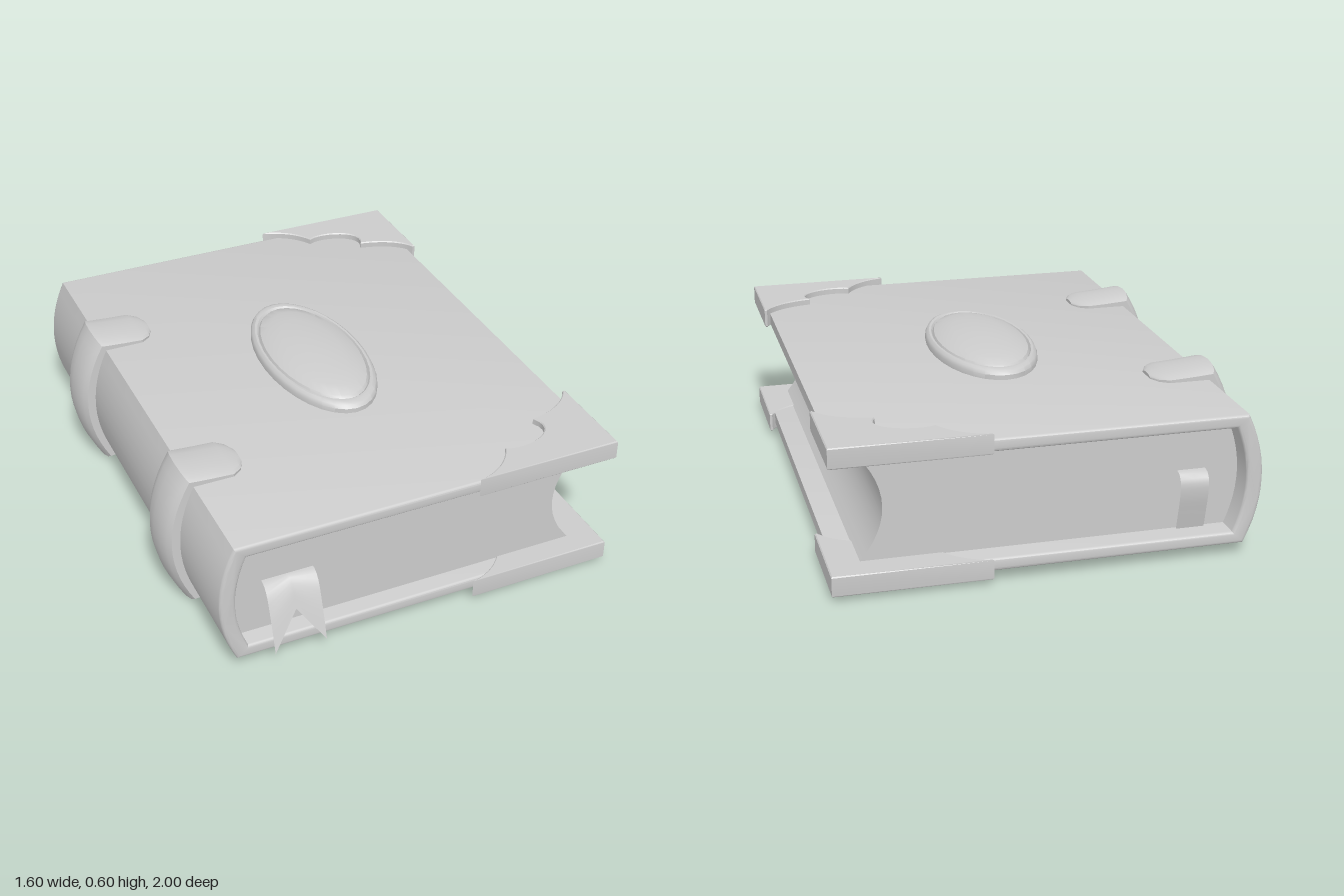
import * as THREE from 'three';
import { toCreasedNormals } from 'three/addons/utils/BufferGeometryUtils.js';

const MID_Y = 0.2875;  // half height of the closed book
const MID_Z = -0.0175; // centre of the book along its spine

const grey = new THREE.MeshStandardMaterial({ color: 0xcccccc });
const greyThin = new THREE.MeshStandardMaterial({ color: 0xcccccc, side: THREE.DoubleSide });

function part(name, geometry, material = grey) {
  const mesh = new THREE.Mesh(geometry, material);
  mesh.name = name;
  return mesh;
}

// Extrudes a shape to an exact depth and keeps its edges crisp
function extrude(shape, depth, bevel, bevelSegments = 3) {
  return toCreasedNormals(new THREE.ExtrudeGeometry(shape, {
    depth: depth - 2 * bevel, curveSegments: 12, bevelEnabled: bevel > 0,
    bevelSize: bevel, bevelThickness: bevel, bevelOffset: -bevel, bevelSegments,
  }).translate(0, 0, bevel), 0.6);
}

// Cover boards and curved spine as one C-shaped section
function cover() {
  const s = new THREE.Shape();
  s.moveTo(0.775, 0.2425);
  s.lineTo(-0.677, 0.2425);
  s.quadraticCurveTo(-0.797, 0, -0.677, -0.2425);
  s.lineTo(0.775, -0.2425);
  s.lineTo(0.775, -0.196);
  s.lineTo(-0.634, -0.196);
  s.quadraticCurveTo(-0.72, 0, -0.634, 0.196);
  s.lineTo(0.775, 0.196);
  s.closePath();
  return part('cover', extrude(s, 1.94, 0.012).translate(0, MID_Y, -0.99));
}

// Page block with a hollow fore-edge
function pages() {
  const s = new THREE.Shape();
  s.moveTo(0.69, 0.198);
  s.lineTo(-0.636, 0.198);
  s.quadraticCurveTo(-0.722, 0, -0.636, -0.198);
  s.lineTo(0.69, -0.198);
  s.quadraticCurveTo(0.518, 0, 0.69, 0.198);
  return part('pages', extrude(s, 1.778, 0).translate(0, MID_Y, -0.9));
}

// Scalloped corner plate; side is +1 at the front and -1 at the back
function cornerPlate(side, topY) {
  const z = (v) => MID_Z + side * (0.9825 - v);
  const s = new THREE.Shape();
  s.moveTo(0.24, z(0));
  s.quadraticCurveTo(0.36, z(0.03), 0.41, z(0.13));
  s.bezierCurveTo(0.48, z(0.09), 0.66, z(0.15), 0.595, z(0.25));
  s.quadraticCurveTo(0.74, z(0.275), 0.79, z(0.365));
  s.lineTo(0.8, z(0.365));
  s.lineTo(0.8, z(0));
  s.closePath();
  const geometry = extrude(s, 0.075, 0.004, 1).rotateX(Math.PI / 2);
  return part('cornerPlate', geometry.translate(0, topY, 0));
}

// Domed band that wraps the spine and ends in a tab on each board
function spineBand(z) {
  // Each station: base x, base y, crown x, crown y, half width
  const tab = [
    [-0.47, 0.236, -0.47, 0.236, 0.04],
    [-0.47, 0.236, -0.47, 0.255, 0.04],
    [-0.49, 0.236, -0.49, 0.262, 0.08],
    [-0.525, 0.236, -0.525, 0.267, 0.105],
    [-0.60, 0.236, -0.60, 0.274, 0.105],
    [-0.66, 0.236, -0.675, 0.283, 0.105],
  ];
  const stations = [...tab];
  const N = 14;
  for (let i = 0; i <= N; i++) {
    const t = i / N, k = 2 * t * (1 - t);
    stations.push([-0.67 - 0.12 * k, 0.235 * (1 - 2 * t),
      -0.71 - 0.18 * k, 0.2875 * (1 - 2 * t), 0.105]);
  }
  for (const [bx, by, cx, cy, w] of [...tab].reverse()) stations.push([bx, -by, cx, -cy, w]);

  // Section across the band: position and share of the crown height
  const section = [[-1, 0], [-1, 0.55], [-0.85, 0.75], [-0.5, 0.93], [0, 1],
    [0.5, 0.93], [0.85, 0.75], [1, 0.55], [1, 0]];
  const positions = [], index = [], n = section.length;
  stations.forEach(([bx, by, cx, cy, w], i) => {
    section.forEach(([s, f], j) => {
      positions.push(bx + (cx - bx) * f, MID_Y + by + (cy - by) * f, z + s * w);
      if (i && j) {
        const d = i * n + j, c = d - 1, b = d - n, a = b - 1;
        index.push(a, c, b, c, d, b);
      }
    });
  });
  const g = new THREE.BufferGeometry();
  g.setAttribute('position', new THREE.Float32BufferAttribute(positions, 3));
  g.setIndex(index);
  return part('spineBand', toCreasedNormals(g, 0.6));
}

// Oval medallion: rounded rim around a low dome
function medallion() {
  const profile = [[1, 0.525], [1, 0.548], [0.975, 0.56], [0.93, 0.567], [0.89, 0.566],
    [0.865, 0.558], [0.84, 0.568], [0.7, 0.582], [0.5, 0.592], [0.25, 0.599], [0, 0.601]]
    .map(([r, y]) => new THREE.Vector2(r, y));
  const g = new THREE.LatheGeometry(profile, 32).scale(0.2, 1, 0.405);
  return part('medallion', toCreasedNormals(g.translate(0.04, 0, -0.02), 0.6));
}

// Ribbon strip following (y, z) points; notch is where its middle ends
function ribbon(name, x0, x1, points, notch) {
  const curve = new THREE.CatmullRomCurve3(points.map(([y, z]) => new THREE.Vector3(0, y, z)));
  const rows = 14, positions = [], index = [];
  for (let i = 0; i <= rows; i++) {
    [1, notch, 1].forEach((end, j) => {
      const p = curve.getPointAt((i / rows) * end);
      positions.push(x0 + (x1 - x0) * j / 2, p.y, p.z);
      if (i && j) {
        const d = i * 3 + j, c = d - 1, b = d - 3, a = b - 1;
        index.push(a, c, b, c, d, b);
      }
    });
  }
  const g = new THREE.BufferGeometry();
  g.setAttribute('position', new THREE.Float32BufferAttribute(positions, 3));
  g.setIndex(index);
  g.computeVertexNormals();
  return part(name, g, greyThin);
}

export function createModel() {
  const book = new THREE.Group();
  book.name = 'book';
  book.add(cover(), pages(), medallion());
  for (const side of [1, -1]) {
    book.add(cornerPlate(side, 0.555), cornerPlate(side, 0.095));
    book.add(spineBand(-0.02 + side * 0.485));
  }
  book.add(ribbon('frontRibbon', -0.555, -0.36,
    [[0.305, 0.87], [0.3, 0.9], [0.275, 0.925], [0.21, 0.953], [0.14, 0.977], [0.065, 1]], 0.5));
  book.add(ribbon('backRibbon', -0.555, -0.45,
    [[0.312, -0.89], [0.305, -0.925], [0.28, -0.942], [0.23, -0.942], [0.16, -0.928], [0.09, -0.912]], 1));
  return book;
}
